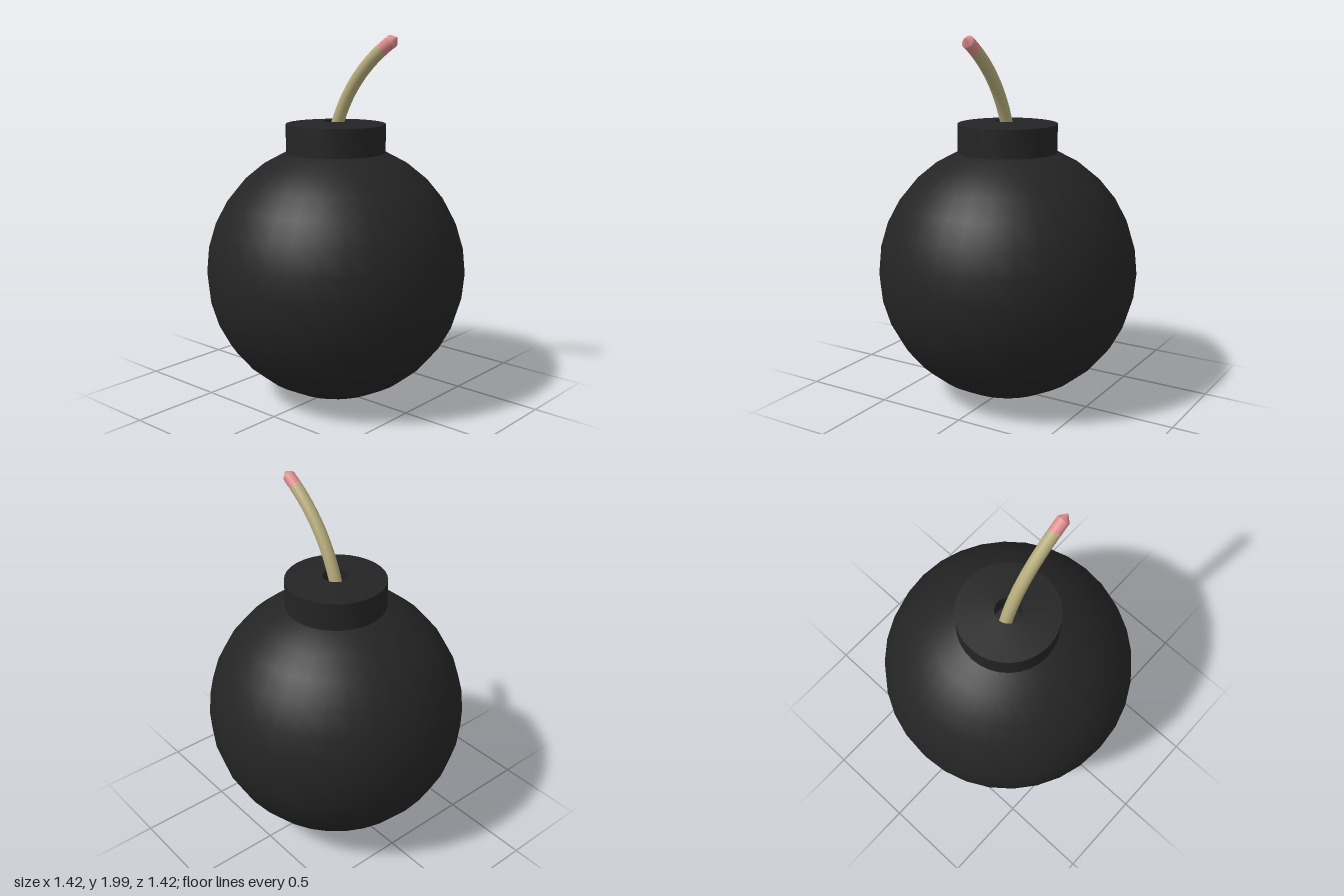
import * as THREE from 'three';
import { toCreasedNormals } from 'three/addons/utils/BufferGeometryUtils.js';

const material = (name, color) => {
  const m = new THREE.MeshStandardMaterial({ color });
  m.name = name;
  return m;
};

export function createModel() {
  const group = new THREE.Group();
  group.name = 'bomb';
  const iron = material('black iron', 0x242424);
  const cord = material('tan cord', 0xb4ab7a);
  const ember = material('pink ember', 0xde8c8e);

  const add = (name, geometry, mat) => {
    const mesh = new THREE.Mesh(geometry, mat);
    mesh.name = name;
    group.add(mesh);
    return mesh;
  };

  // Round body
  const R = 0.71;
  add('body', new THREE.SphereGeometry(R, 32, 16), iron).position.y = R;

  // Neck with a slightly domed top and a hole for the fuse
  const profile = [[0.27, 1.35], [0.27, 1.52], [0.07, 1.535], [0.07, 1.4]]
    .map(([x, y]) => new THREE.Vector2(x, y));
  add('neck', toCreasedNormals(new THREE.LatheGeometry(profile, 32), 0.6), iron);

  // Fuse: one bent path, split into cord and burning end
  const r = 0.034;
  const path = new THREE.QuadraticBezierCurve3(
    new THREE.Vector3(-0.02, 1.42, 0),
    new THREE.Vector3(0.07, 1.775, 0),
    new THREE.Vector3(0.379, 1.963, 0)
  );
  const section = (from, to, steps) => {
    const points = [];
    for (let i = 0; i <= steps; i++) points.push(path.getPoint(from + (to - from) * i / steps));
    return new THREE.TubeGeometry(new THREE.CatmullRomCurve3(points), steps, r, 16);
  };
  const split = 0.9;
  add('fuseCord', section(0, split, 16), cord);
  add('fuseEnd', section(split, 1, 3), ember);

  // Pointed tip closing the fuse
  const h = 0.035;
  const dir = path.getTangent(1);
  const tip = add('fuseTip', new THREE.ConeGeometry(r, h, 16, 1, true), ember);
  tip.quaternion.setFromUnitVectors(new THREE.Vector3(0, 1, 0), dir);
  tip.position.copy(path.getPoint(1)).addScaledVector(dir, h / 2);

  return group;
}
